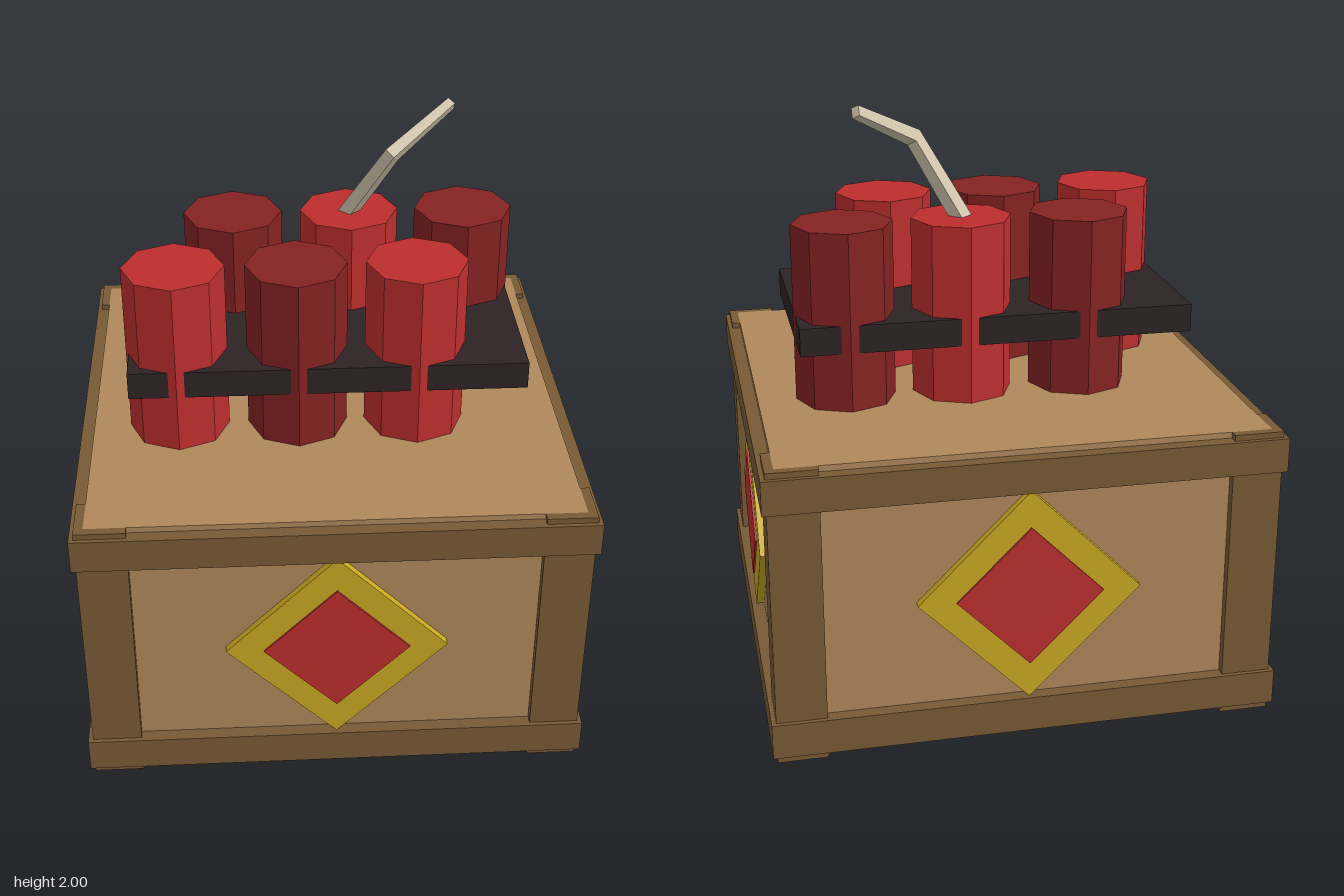
import * as THREE from 'three';

const mat = (name, color) => {
  const m = new THREE.MeshStandardMaterial({ color });
  m.name = name;
  return m;
};

export function createModel() {
  const tan = mat('tan wood', 0xb0885b);
  const brown = mat('brown wood', 0x785a35);
  const yellow = mat('yellow paint', 0xc9a822);
  const red = mat('red', 0xbd2e2e);
  const darkRed = mat('dark red', 0x852222);
  const black = mat('black strap', 0x2d2324);
  const cream = mat('fuse cord', 0xcfc4aa);

  const model = new THREE.Group();
  model.name = 'dynamiteCrate';

  const add = (parent, name, geometry, material, x = 0, y = 0, z = 0) => {
    const mesh = new THREE.Mesh(geometry, material);
    mesh.name = name;
    mesh.position.set(x, y, z);
    parent.add(mesh);
    return mesh;
  };
  const box = (w, h, d) => new THREE.BoxGeometry(w, h, d);

  // Crate body
  const H = 1.01;
  add(model, 'crateBody', box(1.6, H, 1.6), tan, 0, H / 2, 0);

  // Each side: two corner boards, two rails and a diamond emblem
  for (let i = 0; i < 4; i++) {
    const side = new THREE.Group();
    side.name = 'crateSide' + (i + 1);
    side.rotation.y = i * Math.PI / 2;
    model.add(side);

    add(side, 'cornerBoardLeft', box(0.165, H, 0.03), brown, 0.7475, H / 2, 0.815);
    add(side, 'cornerBoardRight', box(0.135, H, 0.03), brown, -0.7325, H / 2, 0.815);
    add(side, 'lowerRail', box(1.645, 0.12, 0.045), brown, 0.0225, 0.085, 0.8225);
    add(side, 'upperRail', box(1.645, 0.115, 0.045), brown, 0.0225, 0.9325, 0.8225);

    const s = Math.SQRT2;
    add(side, 'emblemBorder', box(0.367 * s, 0.367 * s, 0.03), yellow, 0, 0.51, 0.813)
      .rotation.z = Math.PI / 4;
    add(side, 'emblemCentre', box(0.242 * s, 0.242 * s, 0.008), red, 0, 0.51, 0.831)
      .rotation.z = Math.PI / 4;
  }

  // Dynamite sticks in two staggered rows, colours alternating
  const stick = new THREE.CylinderGeometry(0.17, 0.17, 0.605, 8).toNonIndexed();
  stick.computeVertexNormals();
  [
    [-0.505, 0.2, red], [-0.1, 0.2, darkRed], [0.3, 0.2, red],
    [-0.305, -0.205, darkRed], [0.1, -0.205, red], [0.5, -0.205, darkRed],
  ].forEach(([x, z, m], i) => add(model, 'stick' + (i + 1), stick, m, x, 1.3125, z));

  // Binding slab around the sticks
  add(model, 'binding', box(1.33, 0.095, 0.722), black, 0, 1.2575, -0.002);

  // Bent square fuse: a ring carried along each segment and cut at the mitre
  const path = [[0.1, 1.61, -0.2], [0.238, 1.862, -0.1], [0.45, 1.982, -0.247]]
    .map(p => new THREE.Vector3(...p));
  const d1 = path[1].clone().sub(path[0]).normalize();
  const d2 = path[2].clone().sub(path[1]).normalize();
  const carry = (ring, dir, normal, scale) => ring.map(o =>
    o.clone().addScaledVector(dir, -o.dot(normal) / dir.dot(normal)).multiplyScalar(scale));
  const r0 = [[0, 1], [1, 0], [0, -1], [-1, 0]]
    .map(([x, z]) => new THREE.Vector3(x * 0.04, 0, z * 0.04));
  const r1 = carry(r0, d1, d1.clone().add(d2), 0.88);
  const r2 = carry(r1, d2, d2, 0.75);
  const rings = [r0, r1, r2].map((r, i) => r.map(o => o.clone().add(path[i])));
  const pos = [];
  const quad = (a, b, c, d) => [a, b, c, a, c, d].forEach(p => pos.push(p.x, p.y, p.z));
  for (let i = 0; i < 2; i++) {
    for (let k = 0; k < 4; k++) {
      const n = (k + 1) % 4;
      quad(rings[i][k], rings[i][n], rings[i + 1][n], rings[i + 1][k]);
    }
  }
  quad(...rings[2]);
  const fuse = new THREE.BufferGeometry();
  fuse.setAttribute('position', new THREE.Float32BufferAttribute(pos, 3));
  fuse.computeVertexNormals();
  add(model, 'fuse', fuse, cream);

  return model;
}
